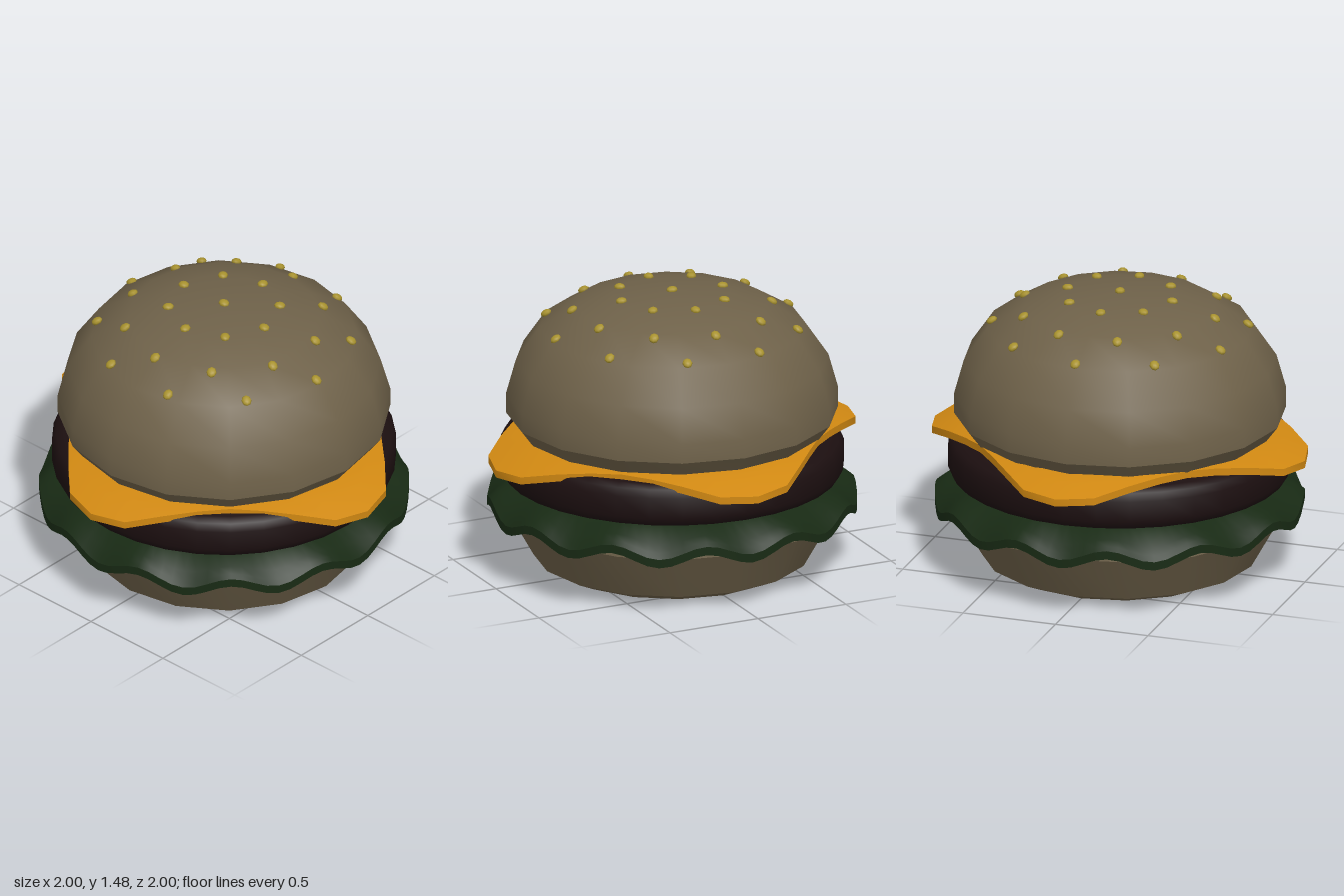
import * as THREE from 'three';
import { toCreasedNormals } from 'three/addons/utils/BufferGeometryUtils.js';

const COLORS = { bun: 0x6e6149, patty: 0x1c0f10, cheese: 0xd08812, lettuce: 0x182a14, seed: 0xa8922e };

function part(name, geometry, color) {
  const mesh = new THREE.Mesh(geometry, new THREE.MeshStandardMaterial({ color }));
  mesh.name = name;
  return mesh;
}

// Round solid from a [radius, height] profile listed bottom to top
function turned(profile, segments, crease = 0.52) {
  const points = profile.map(([r, y]) => new THREE.Vector2(r, y));
  return toCreasedNormals(new THREE.LatheGeometry(points, segments), crease);
}

// Thin closed disc whose outline and height vary with the angle
function sheet(steps, segments, thickness, radiusAt, heightAt) {
  const bottom = steps.map((u) => new THREE.Vector2(u, -thickness));
  const top = [...steps].reverse().map((u) => new THREE.Vector2(u, 0));
  const geometry = new THREE.LatheGeometry([...bottom, ...top], segments);
  const pos = geometry.attributes.position;
  for (let i = 0; i < pos.count; i++) {
    const x = pos.getX(i), z = pos.getZ(i);
    const u = Math.hypot(x, z), angle = Math.atan2(x, z);
    const r = u * radiusAt(angle);
    pos.setXYZ(i, r * Math.sin(angle), pos.getY(i) + heightAt(r, angle, u), r * Math.cos(angle));
  }
  return toCreasedNormals(geometry, 0.7);
}

const TOP_BUN = [[0, 0.74], [0.79, 0.74], [0.85, 0.82], [0.85, 0.92], [0.8, 1.1],
  [0.68, 1.275], [0.49, 1.39], [0.3, 1.44], [0, 1.46]];

// Height and slope of the top bun's dome at a given radius
function domeAt(r) {
  for (let i = TOP_BUN.length - 1; i > 3; i--) {
    const [r0, y0] = TOP_BUN[i], [r1, y1] = TOP_BUN[i - 1];
    if (r <= r1) {
      const slope = (y1 - y0) / (r1 - r0);
      return { y: y0 + slope * (r - r0), tilt: Math.atan(slope) };
    }
  }
}

export function createModel() {
  const model = new THREE.Group();
  model.name = 'burger';

  // Buns
  model.add(part('bottomBun', turned([[0, 0], [0.6, 0], [0.71, 0.05], [0.85, 0.3], [0.84, 0.36],
    [0.78, 0.41], [0, 0.42]], 16), COLORS.bun));
  model.add(part('topBun', turned(TOP_BUN, 16), COLORS.bun));

  // Patty with rounded rim
  model.add(part('patty', turned([[0, 0.47], [0.82, 0.475], [0.86, 0.49], [0.88, 0.53], [0.88, 0.64],
    [0.86, 0.68], [0.82, 0.7], [0, 0.705]], 32, 0.8), COLORS.patty));

  // Lettuce leaf, flaring down to a ruffled hem
  const lettuce = sheet([0, 0.6, 0.82, 0.94, 0.975, 1], 96, 0.045,
    () => 0.945,
    (r, a, u) => {
      const flare = THREE.MathUtils.clamp((u - 0.82) / 0.18, 0, 1);
      return 0.48 - 0.115 * flare ** 1.5 - 0.033 * flare * Math.cos(12 * a);
    });
  model.add(part('lettuce', lettuce, COLORS.lettuce));

  // Square cheese slice, its four blunt corners drooping over the patty
  const outline = [1, 0.97, 0.875, 0.815, 0.79];
  const cheese = sheet([0, 0.5, 0.75, 0.88, 1], 32, 0.038,
    (a) => {
      const step = Math.round(Math.abs(a) / (Math.PI / 16)) % 8;
      return outline[Math.min(step, 8 - step)];
    },
    (r, a) => {
      const droop = Math.max(0, (r - 0.72) / 0.28);
      return 0.75 - 0.09 * droop ** 1.4 - 0.02 * r * Math.sin(a);
    });
  model.add(part('cheese', cheese, COLORS.cheese));

  // Sesame seeds: one in the middle and three rings over the dome
  const seeds = new THREE.Group();
  seeds.name = 'seeds';
  const seedGeometry = new THREE.SphereGeometry(1, 8, 6).scale(0.03, 0.018, 0.026);
  const rings = [[0, 1, 0], [0.285, 8, 0.02], [0.515, 10, 0.32], [0.655, 10, 0.02]];
  for (const [radius, count, phase] of rings) {
    const { y, tilt } = domeAt(radius);
    for (let i = 0; i < count; i++) {
      const angle = phase + (i / count) * Math.PI * 2;
      const seed = part('seed', seedGeometry, COLORS.seed);
      seed.position.set(radius * Math.cos(angle), y + 0.004, radius * Math.sin(angle));
      seed.rotation.set(0, -angle, tilt);
      seeds.add(seed);
    }
  }
  model.add(seeds);

  return model;
}
